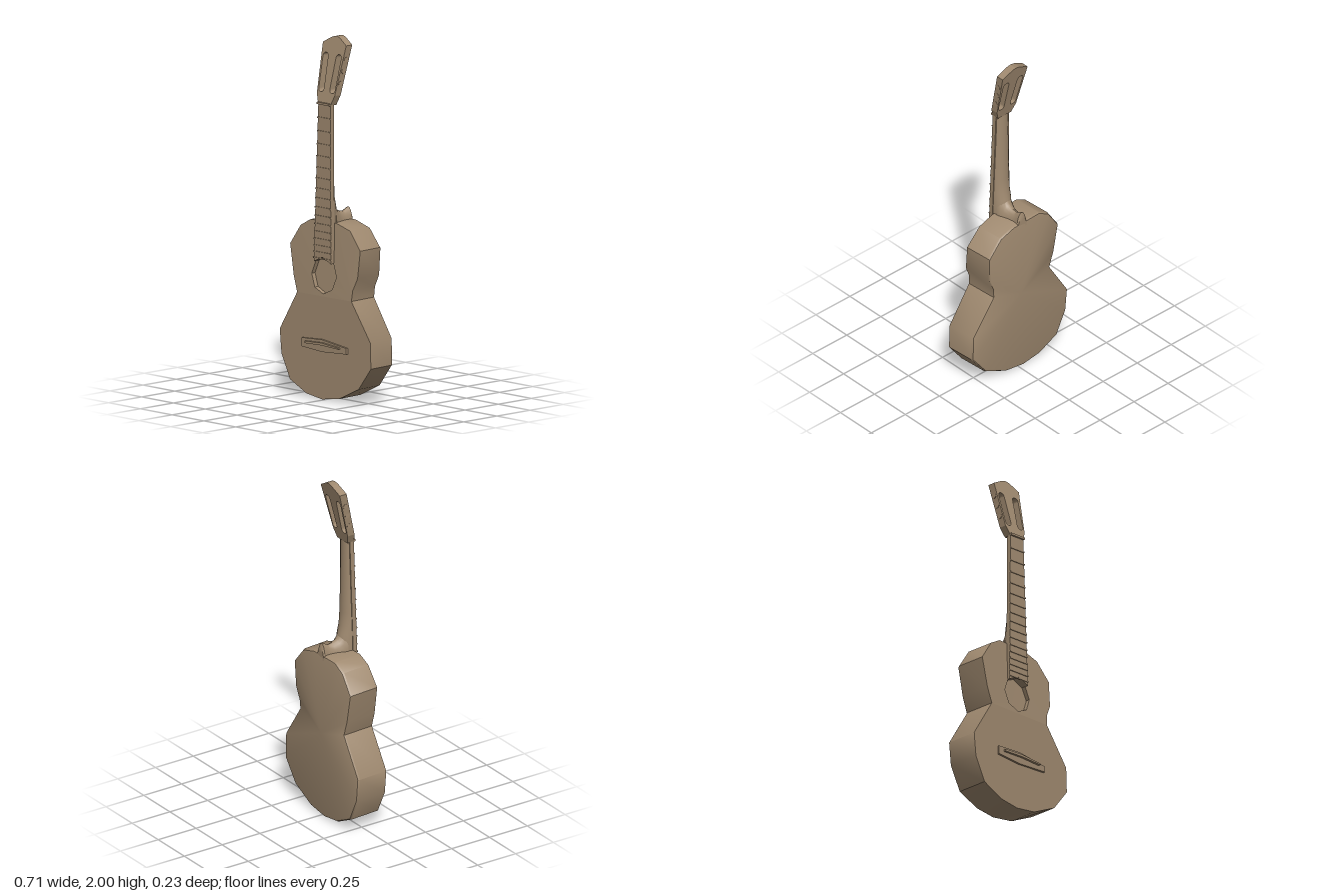
import * as THREE from 'three';
import { toCreasedNormals } from 'three/addons/utils/BufferGeometryUtils.js';

const CX = -0.012; // centre line of neck and head
const V = (x, y, z) => new THREE.Vector3(x, y, z);
const poly = pts => pts.map(([x, y]) => new THREE.Vector2(x, y));

// Skin over closed rings of equal length, with optional end caps
function loft(rings, capStart = true, capEnd = true) {
  const n = rings[0].length, pts = rings.flat(), index = [];
  for (let i = 0; i < rings.length - 1; i++)
    for (let j = 0; j < n; j++) {
      const a = i * n + j, b = i * n + (j + 1) % n;
      index.push(a, a + n, b, b, a + n, b + n);
    }
  const cap = (ring, base, flip) => {
    const c = pts.length;
    pts.push(ring.reduce((s, p) => s.add(p), V(0, 0, 0)).divideScalar(n));
    for (let j = 0; j < n; j++) {
      const a = base + j, b = base + (j + 1) % n;
      index.push(c, flip ? b : a, flip ? a : b);
    }
  };
  if (capStart) cap(rings[0], 0, false);
  if (capEnd) cap(rings[rings.length - 1], (rings.length - 1) * n, true);
  const g = new THREE.BufferGeometry().setFromPoints(pts);
  g.setIndex(index);
  return toCreasedNormals(g, 0.65);
}

// Shift every vertex in z by a rule of x and y
function shiftZ(g, rule) {
  const p = g.attributes.position;
  for (let i = 0; i < p.count; i++) p.setZ(i, p.getZ(i) + rule(p.getX(i), p.getY(i)));
  g.computeVertexNormals();
  return g;
}

// Slightly uneven front and back of the body
const frontZ = (x, y) => 0.09 - 0.025 * x - Math.max(0, y - 0.57) * (0.07 + 0.12 * x);
const backZ = (x, y) => -0.097 - Math.max(0, y - 0.4) * (0.02 + 0.06 * x);
const boardZ = y => 0.095 - (y - 0.78) * 0.0175;
const boardHalf = y => 0.0675 - (y - 0.78) * 0.0234;

export function createModel() {
  const group = new THREE.Group();
  const wood = new THREE.MeshStandardMaterial({ color: 0xa08a70 });
  const add = (name, geometry, parent = group) => {
    const m = new THREE.Mesh(geometry, wood);
    m.name = name;
    parent.add(m);
    return m;
  };

  // Body outline, counterclockwise from the right waist
  const upper = [[0.205, 0.57], [0.21, 0.63], [0.24, 0.7], [0.245, 0.85], [0.16, 0.95], [0.06, 0.98],
    [-0.13, 0.98], [-0.2, 0.94], [-0.273, 0.83], [-0.24, 0.66], [-0.21, 0.57]];
  const lower = [[-0.343, 0.35], [-0.33, 0.215], [-0.265, 0.08], [-0.14, 0.018], [-0.02, 0],
    [0.11, 0.018], [0.26, 0.09], [0.355, 0.215], [0.35, 0.36]];
  const outline = [...upper, ...lower];
  const back = (inset, lift) => outline.map(([x, y]) => {
    const px = x * (1 - inset) - 0.012, py = 0.5 + (y - 0.5) * (1 - inset);
    return V(px, py, backZ(px, py) + lift);
  });
  add('bodySidesAndBack', loft([
    outline.map(([x, y]) => V(x, y, frontZ(x, y))),
    back(0, 0.012), back(0.012, 0.002), back(0.035, -0.001),
  ], false, true));

  // Front boards, the upper one pierced by the sound hole
  const hole = Array.from({ length: 8 }, (_, i) => {
    const a = i * Math.PI / 4;
    return [CX + 0.093 * Math.cos(a), 0.686 + 0.102 * Math.sin(a)];
  });
  const upperShape = new THREE.Shape(poly(upper));
  upperShape.holes.push(new THREE.Path(poly(hole)));
  add('upperFront', shiftZ(new THREE.ShapeGeometry(upperShape), frontZ));
  const lowerShape = new THREE.Shape(poly([upper[10], ...lower, upper[0]]));
  add('lowerFront', shiftZ(new THREE.ShapeGeometry(lowerShape), frontZ));

  // Sound hole: rim facing inwards and a recessed floor
  const ring = d => hole.map(([x, y]) => V(x, y, frontZ(x, y) - d));
  add('soundHoleRim', loft([ring(0.025), ring(0)], false, false));
  add('soundHoleFloor', shiftZ(new THREE.ShapeGeometry(new THREE.Shape(poly(hole))),
    (x, y) => frontZ(x, y) - 0.025));

  // Neck with a rounded back, from the nut down
  const stations = [[1.64, 0.047, 0.04], [1.4, 0.051, 0.036], [1.2, 0.056, 0.032],
    [1.12, 0.058, 0.026], [1.07, 0.059, 0.012], [1.0, 0.06, 0.0], [0.95, 0.06, 0.0]];
  add('neck', loft(stations.map(([y, w, zBack]) => {
    const zFront = boardZ(y) - 0.012;
    return Array.from({ length: 11 }, (_, i) => {
      const a = i / 10 * Math.PI;
      return V(CX + w * Math.cos(a), y, zFront - (zFront - zBack) * Math.sin(a));
    });
  })));

  // Heel: arched ridge dipping over the body and rising at the back
  const heel = [[0.04, 0.058, 1.11], [0.022, 0.055, 1.075], [0, 0.046, 1.045], [-0.03, 0.037, 1.03],
    [-0.06, 0.032, 1.025], [-0.085, 0.032, 1.04], [-0.1, 0.034, 1.045], [-0.108, 0.03, 1.02]];
  add('heel', loft(heel.map(([z, w, h]) => Array.from({ length: 11 }, (_, i) => {
    const a = i / 10 * Math.PI;
    return V(CX + w * Math.cos(a), 0.95 + (h - 0.95) * Math.sin(a), z);
  }))));

  // Fretboard, cut to follow the sound hole
  const board = new THREE.Shape(poly([[CX - 0.0675, 0.757], [CX, 0.788], [CX + 0.0675, 0.757],
    [CX + 0.0475, 1.635], [CX - 0.0475, 1.635]]));
  add('fretboard', shiftZ(new THREE.ExtrudeGeometry(board, { depth: 0.026, bevelEnabled: false }),
    (x, y) => boardZ(y) - 0.026));

  // Frets and nut
  const frets = new THREE.Group();
  frets.name = 'frets';
  group.add(frets);
  for (let i = 1; i <= 16; i++) {
    const y = 1.635 - 1.42 * (1 - 2 ** (-i / 12));
    add('fret', new THREE.BoxGeometry(2 * boardHalf(y), 0.007, 0.01), frets)
      .position.set(CX, y, boardZ(y));
  }
  add('nut', new THREE.BoxGeometry(0.098, 0.012, 0.03)).position.set(CX, 1.635, 0.076);

  // Slotted headstock leaning back
  const head = new THREE.Shape(poly([[-0.06, 1.63], [0.036, 1.63], [0.056, 1.685], [0.076, 1.957],
    [0.015, 1.993], [-0.012, 2], [-0.04, 1.993], [-0.107, 1.957], [-0.084, 1.685]]));
  const slot = (x0, x1, r) => {
    const p = new THREE.Path(), y0 = 1.715, y1 = 1.885;
    p.absarc(x1, y1, r, 0, Math.PI, false);
    p.absarc(x0, y0, r, Math.PI, 2 * Math.PI, false);
    p.closePath();
    return p;
  };
  head.holes.push(slot(-0.056, -0.068, 0.02), slot(0.03, 0.034, 0.02));
  const headZ = y => 0.08 - (y - 1.635) * 0.25;
  add('headstock', shiftZ(new THREE.ExtrudeGeometry(head, { depth: 0.045, bevelEnabled: false, curveSegments: 6 }),
    (x, y) => headZ(y) - 0.045));

  // Tuning peg ends, three on each edge
  for (const y of [1.75, 1.817, 1.88])
    for (const side of [-1, 1]) {
      const t = (y - 1.685) / 0.272;
      const edge = side < 0 ? -0.084 - 0.023 * t : 0.056 + 0.02 * t;
      const peg = add('pegEnd', new THREE.CylinderGeometry(0.014, 0.014, 0.008, 10));
      peg.rotation.z = Math.PI / 2;
      peg.position.set(edge - side * 0.002, y, headZ(y) - 0.0225);
    }

  // Bridge and raised saddle
  const bridge = new THREE.Shape(poly([[-0.165, 0.277], [-0.01, 0.265], [0.178, 0.275],
    [0.178, 0.308], [-0.01, 0.333], [-0.165, 0.325]]));
  add('bridge', shiftZ(new THREE.ExtrudeGeometry(bridge, { depth: 0.02, bevelEnabled: false }),
    x => 0.082 - 0.02 * x));
  const saddle = new THREE.Shape(poly([[-0.13, 0.3], [0, 0.304], [0.13, 0.298],
    [0.13, 0.306], [0, 0.318], [-0.13, 0.312]]));
  add('saddle', shiftZ(new THREE.ExtrudeGeometry(saddle, { depth: 0.022, bevelEnabled: false }),
    x => 0.094 - 0.01 * x));
  return group;
}
